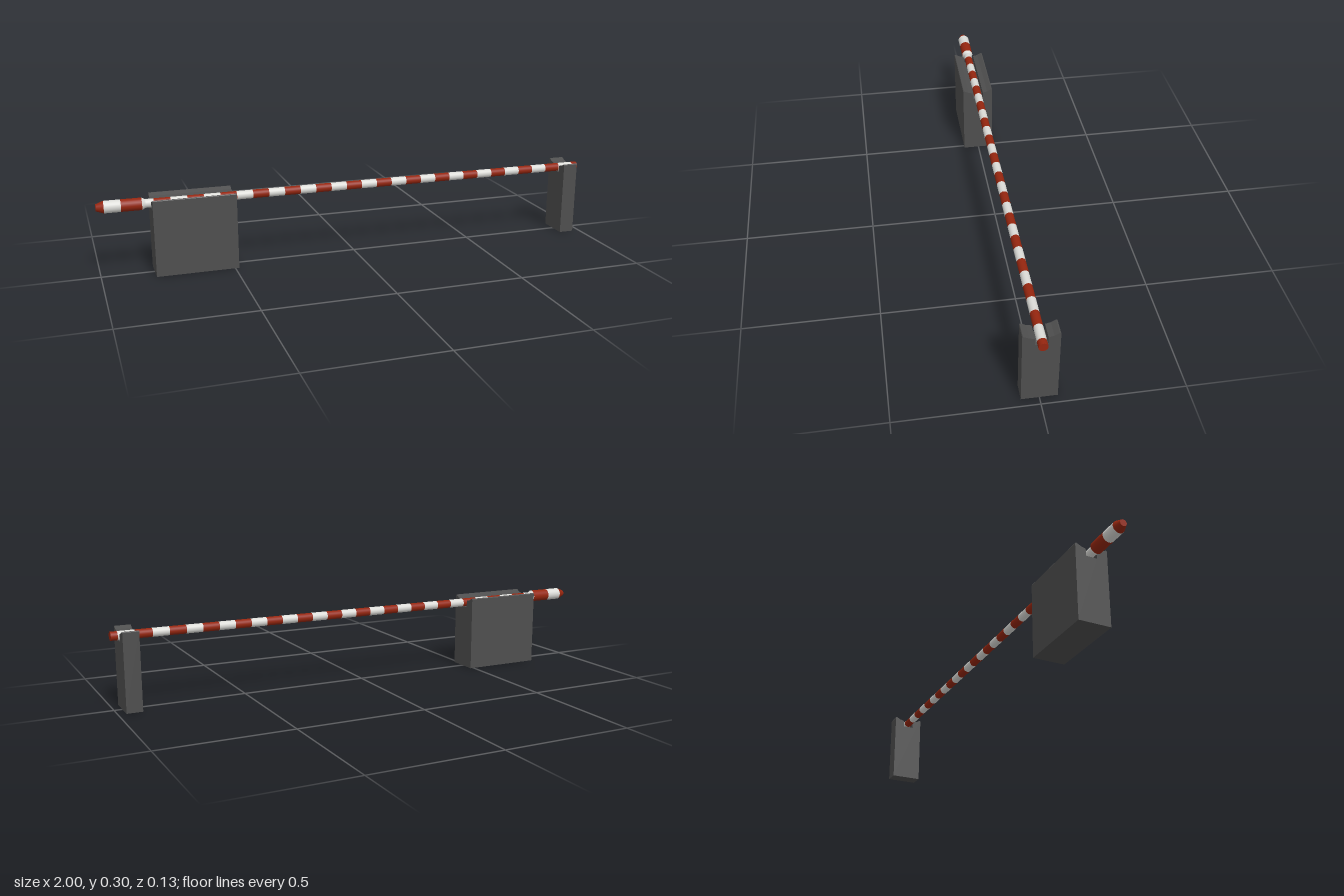
import * as THREE from 'three';

const AXIS_Y = 0.273;

export function createModel() {
  const model = new THREE.Group();
  model.name = 'barrierGate';

  const material = (name, color) => {
    const m = new THREE.MeshStandardMaterial({ color });
    m.name = name;
    return m;
  };
  const red = material('red', 0x96260f);
  const white = material('white', 0xdcdcd8);
  const grey = material('darkGrey', 0x4e4e4e);

  // Round section along x, from x0 (radius r0) to x1 (radius r1)
  function section(parent, name, mat, x0, x1, r0, r1 = r0, open = true) {
    const geo = new THREE.CylinderGeometry(r1, r0, x1 - x0, 24, 1, open);
    geo.rotateZ(-Math.PI / 2);
    geo.translate((x0 + x1) / 2, AXIS_Y, 0);
    const mesh = new THREE.Mesh(geo, mat);
    mesh.name = name;
    parent.add(mesh);
  }

  // Supports: a block with a dished top and a square notch for the bar
  const half = [[0.063, 0], [0.063, 0.294], [0.061, 0.297], [0.058, 0.297],
    [0.041, 0.288], [0.022, 0.283], [0.022, 0.255]];
  const mirrored = half.map(([x, y]) => [-x, y]).reverse();
  const profile = new THREE.Shape([...half, ...mirrored].map(([x, y]) => new THREE.Vector2(x, y)));
  function support(name, x0, x1) {
    const geo = new THREE.ExtrudeGeometry(profile, { depth: x1 - x0, bevelEnabled: false });
    geo.rotateY(Math.PI / 2);
    geo.translate(x0, 0, 0);
    const mesh = new THREE.Mesh(geo, grey);
    mesh.name = name;
    model.add(mesh);
  }
  support('pivotHousing', -0.8, -0.485);
  support('restPost', 0.91, 0.97);

  // Striped boom, alternating from the free end back to the counterweight
  const boom = new THREE.Group();
  boom.name = 'boom';
  model.add(boom);
  const R = 0.0165, STRIPE = 0.063;
  section(boom, 'boomTip', red, 0.975, 1, R, R, false);
  for (let i = 0, end = 0.975; end > -0.82; i++, end -= STRIPE) {
    section(boom, 'boomStripe', i % 2 ? red : white, Math.max(end - STRIPE, -0.83), end, R);
  }

  // Counterweight with tapered ends
  const weight = new THREE.Group();
  weight.name = 'counterweight';
  model.add(weight);
  section(weight, 'weightCap', red, -1, -0.972, 0.013, 0.0235, false);
  section(weight, 'weightWhiteBand', white, -0.972, -0.91, 0.0235);
  section(weight, 'weightRedBand', red, -0.91, -0.833, 0.0235);
  section(weight, 'weightCollar', white, -0.833, -0.82, 0.0235, R);

  return model;
}
